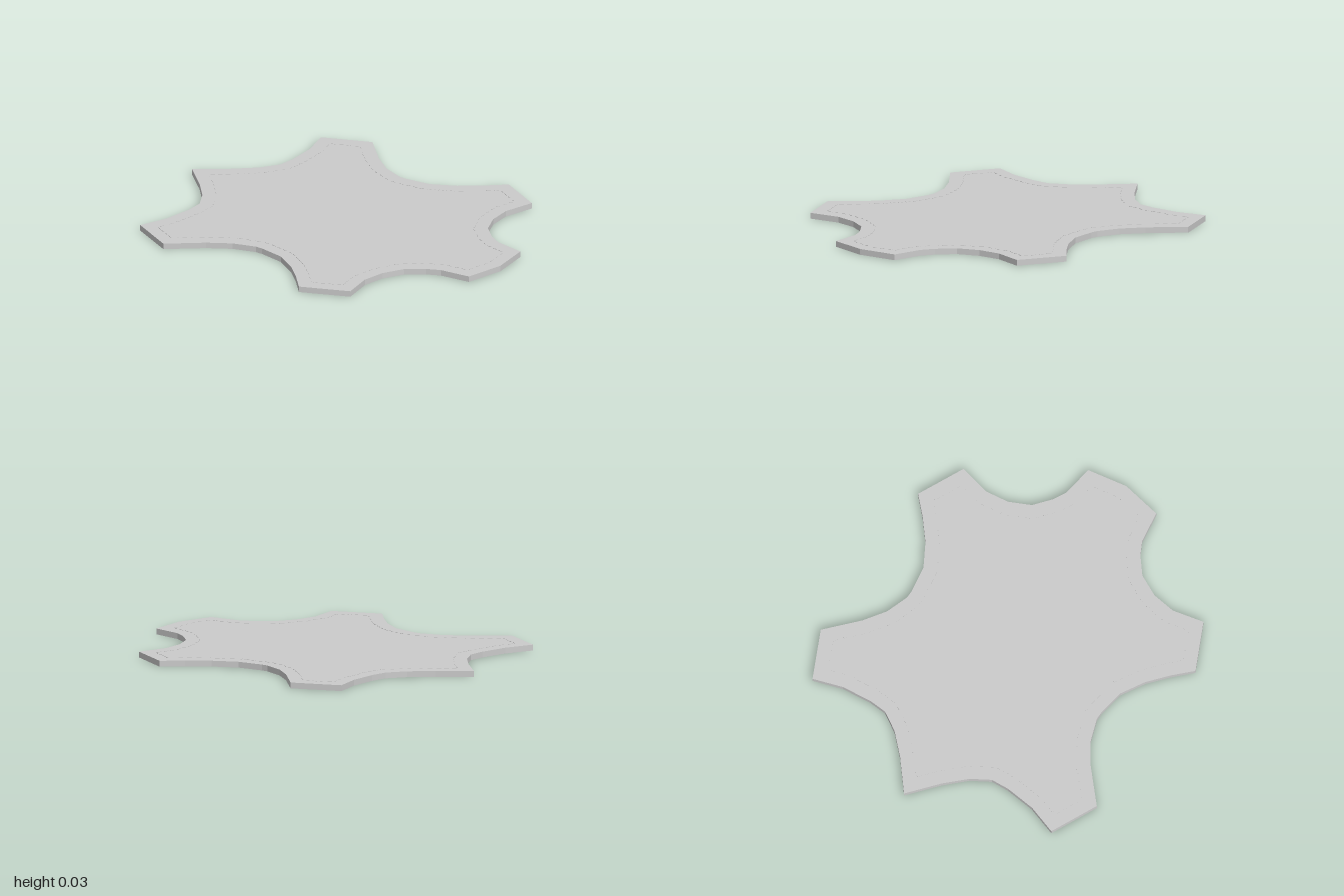
import * as THREE from 'three';

const THICKNESS = 0.03;

// Half outline of the hide, from the tail (+x) round to the neck tip (-x)
const HALF = [
  [1, 0], [0.963, 0.208], [0.8, 0.232], [0.733, 0.267], [0.647, 0.338], [0.594, 0.448],
  [0.578, 0.57], [0.615, 0.733], [0.374, 0.848], [0.283, 0.758], [0.18, 0.671], [0.06, 0.602],
  [-0.08, 0.58], [-0.12, 0.581], [-0.237, 0.622], [-0.348, 0.698], [-0.508, 0.844], [-0.75, 0.73],
  [-0.7, 0.577], [-0.684, 0.42], [-0.69, 0.326], [-0.75, 0.228], [-0.85, 0.126], [-1, 0],
];

// Moves a counter-clockwise loop inwards with mitred corners
function inset(points, distance) {
  const n = points.length;
  return points.map((p, i) => {
    const a = p.clone().sub(points[(i + n - 1) % n]).normalize();
    const b = points[(i + 1) % n].clone().sub(p).normalize();
    const na = new THREE.Vector2(-a.y, a.x);
    const nb = new THREE.Vector2(-b.y, b.x);
    const miter = na.clone().add(nb).normalize();
    return p.clone().addScaledVector(miter, distance / miter.dot(nb));
  });
}

export function createModel() {
  const group = new THREE.Group();
  group.name = 'hideRug';
  const material = new THREE.MeshStandardMaterial({ color: 0xcccccc, flatShading: true });

  // Mirror the half outline into a closed loop
  const mirrored = HALF.slice(1, -1).reverse().map(([x, y]) => [x, -y]);
  const outline = [...HALF, ...mirrored].map(([x, y]) => new THREE.Vector2(x, y));

  // Flat hide
  const hideGeometry = new THREE.ExtrudeGeometry(new THREE.Shape(outline), {
    depth: THICKNESS, bevelEnabled: false,
  });
  hideGeometry.rotateX(-Math.PI / 2);
  const hide = new THREE.Mesh(hideGeometry, material);
  hide.name = 'hide';
  group.add(hide);

  // Row of fine stitches just inside the edge, barely proud of the top
  const stitches = new THREE.Group();
  stitches.name = 'stitches';
  const stitchGeometry = new THREE.BoxGeometry(0.024, 0.004, 0.005);
  const seam = inset(outline, 0.07);
  seam.forEach((p, i) => {
    const q = seam[(i + 1) % seam.length];
    const count = Math.max(1, Math.round(p.distanceTo(q) / 0.045));
    for (let k = 0; k < count; k++) {
      const c = p.clone().lerp(q, (k + 0.5) / count);
      const stitch = new THREE.Mesh(stitchGeometry, material);
      stitch.name = 'stitch';
      stitch.position.set(c.x, THICKNESS, -c.y);
      stitch.rotation.y = Math.atan2(q.y - p.y, q.x - p.x);
      stitches.add(stitch);
    }
  });
  group.add(stitches);

  return group;
}
